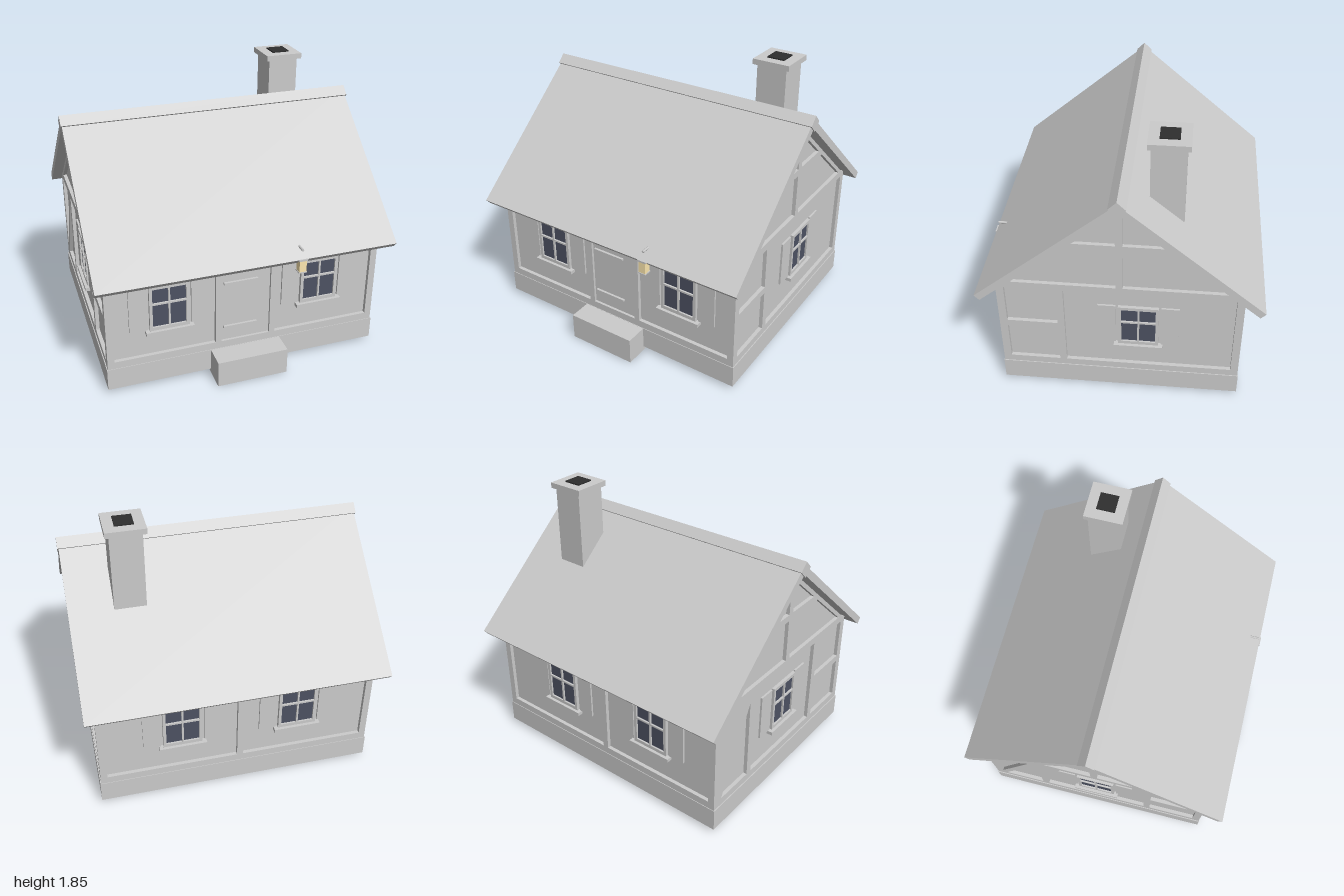
import * as THREE from 'three';

const grey = new THREE.MeshStandardMaterial({ color: 0xcccccc });
const glass = new THREE.MeshStandardMaterial({ color: 0x4d5263 });
const soot = new THREE.MeshStandardMaterial({ color: 0x2e2e2e });
const glow = new THREE.MeshStandardMaterial({ color: 0xffe9b0 });

function add(parent, name, geometry, material = grey) {
  const mesh = new THREE.Mesh(geometry, material);
  mesh.name = name;
  parent.add(mesh);
  return mesh;
}

// Box given by its limits on each axis
function box(parent, name, [x0, x1], [y0, y1], [z0, z1], material) {
  const mesh = add(parent, name, new THREE.BoxGeometry(x1 - x0, y1 - y0, z1 - z0), material);
  mesh.position.set((x0 + x1) / 2, (y0 + y1) / 2, (z0 + z1) / 2);
  return mesh;
}

const rect = (x0, x1, y0, y1) => [[x0, y0], [x1, y0], [x1, y1], [x0, y1]];
const points = (list) => list.map(([x, y]) => new THREE.Vector2(x, y));

// Flat plate with polygon openings, standing on z = 0
function plate(outline, holes, depth) {
  const shape = new THREE.Shape(points(outline));
  shape.holes = holes.map((h) => new THREE.Path(points(h)));
  return new THREE.ExtrudeGeometry(shape, { depth, bevelEnabled: false });
}

// Gable-shaped section carried along x
function prism(outline, length) {
  return plate(outline, [], length).translate(0, 0, -length / 2).rotateY(Math.PI / 2);
}

// Window with four panes, sill and a pair of shutters
function addWindow(wall, u) {
  const win = new THREE.Group();
  win.name = 'window';
  win.position.x = u;
  wall.add(win);
  const panes = [];
  for (const [a, b] of [[-0.11, -0.006], [0.006, 0.11]]) {
    panes.push(rect(a, b, 0.443, 0.605), rect(a, b, 0.617, 0.72));
  }
  add(win, 'windowFrame', plate(rect(-0.13, 0.13, 0.415, 0.742), panes, 0.022));
  box(win, 'windowGlass', [-0.12, 0.12], [0.43, 0.73], [0, 0.01], glass);
  box(win, 'windowSill', [-0.158, 0.158], [0.396, 0.42], [0, 0.042]);
  for (const s of [-1, 1]) {
    const shutter = box(win, 'shutter', [-0.058, 0.058], [0.425, 0.742], [0, 0.013]);
    shutter.position.x = s * 0.203;
  }
}

const FRAME = 0.025; // how far timbers stand out from the infill
const HALF_X = 0.9, HALF_Z = 0.755; // infill faces

// One wall: timber frame with openings, plus its windows
function addWall(house, name, angle, distance, outline, openings, windows) {
  const wall = new THREE.Group();
  wall.name = name;
  wall.rotation.y = angle;
  wall.position.set(Math.sin(angle) * distance, 0, Math.cos(angle) * distance);
  house.add(wall);
  add(wall, 'timberFrame', plate(outline, openings, FRAME));
  windows.forEach((u) => addWindow(wall, u));
  return wall;
}

export function createModel() {
  const model = new THREE.Group();
  model.name = 'cottage';
  const house = new THREE.Group();
  house.name = 'house';
  house.position.set(0, -0.004, -0.014);
  model.add(house);

  // Hollow plinth skirt, floor above it, and infill body
  const skirt = plate(rect(-0.931, 0.931, -0.784, 0.784), [rect(-0.927, 0.927, -0.78, 0.78)], 0.152);
  add(house, 'plinth', skirt.rotateX(-Math.PI / 2)).position.y = 0.035;
  box(house, 'floor', [-0.929, 0.929], [0.18, 0.187], [-0.782, 0.782]);
  add(house, 'infillBody', prism(
    [[-HALF_Z, 0.185], [HALF_Z, 0.185], [HALF_Z, 0.9], [0, 1.538], [-HALF_Z, 0.9]], 2 * HALF_X));

  // Front and back walls
  const longOutline = rect(-HALF_X, HALF_X, 0.185, 0.9);
  const front = addWall(house, 'frontWall', 0, HALF_Z, longOutline, [
    rect(-0.88, -0.206, 0.237, 0.857),
    rect(-0.168, 0.168, 0.237, 0.857),
    rect(0.206, 0.88, 0.237, 0.857),
  ], [-0.511, 0.513]);
  addWall(house, 'backWall', Math.PI, HALF_Z, longOutline, [
    rect(-0.88, 0, 0.237, 0.857),
    rect(0.04, 0.88, 0.237, 0.857),
  ], [-0.368, 0.412]);

  // Gable walls: king post, collar beam and rafters above the wall plate
  const gableOutline = [[-0.78, 0.185], [0.78, 0.185], [0.78, 0.885], [0.728, 0.905],
    [0, 1.524], [-0.728, 0.905], [-0.78, 0.885]];
  const gableOpenings = [];
  for (const s of [-1, 1]) {
    gableOpenings.push(
      [[s * 0.022, 0.908], [s * 0.685, 0.908], [s * 0.338, 1.202], [s * 0.022, 1.202]],
      [[s * 0.022, 1.247], [s * 0.285, 1.247], [s * 0.022, 1.47]]);
  }
  const stacked = (a, b) => [rect(a, b, 0.237, 0.522), rect(a, b, 0.569, 0.857)];
  addWall(house, 'leftGable', Math.PI / 2, HALF_X, gableOutline, [
    ...gableOpenings, ...stacked(-0.73, -0.4), rect(-0.355, 0.73, 0.237, 0.857),
  ], [0.12]);
  addWall(house, 'rightGable', -Math.PI / 2, HALF_X, gableOutline, [
    ...gableOpenings, ...stacked(0.4, 0.73), rect(-0.375, 0.355, 0.237, 0.857),
    // openings either side of the diagonal brace
    [[-0.73, 0.285], [-0.445, 0.857], [-0.73, 0.857]],
    [[-0.705, 0.237], [-0.42, 0.237], [-0.42, 0.805]],
  ], [0]);

  // Door with strap hinges, and the step
  box(front, 'door', [-0.168, 0.168], [0.237, 0.857], [-0.01, 0.008]);
  for (const y of [0.34, 0.67]) {
    box(front, 'strapHinge', [-0.15, 0.08], [y - 0.007, y + 0.007], [0, 0.024]);
  }
  box(model, 'doorStep', [-0.24, 0.24], [0, 0.182], [0.74, 0.92]);

  // Roof and diamond ridge beam
  add(house, 'roof', prism([
    [0, 1.605], [-0.903, 0.835], [-0.871, 0.799], [0, 1.539], [0.871, 0.799], [0.903, 0.835],
  ], 1.984));
  const ridge = add(house, 'ridgeBeam', new THREE.BoxGeometry(2, 0.076, 0.076));
  ridge.position.y = 1.575;
  ridge.rotation.x = Math.PI / 4;

  // Chimney
  const chimney = new THREE.Group();
  chimney.name = 'chimney';
  chimney.position.set(0.602, -0.003, -0.286);
  model.add(chimney);
  box(chimney, 'chimneyStack', [-0.103, 0.103], [1.2, 1.81], [-0.107, 0.107]);
  box(chimney, 'chimneyCap', [-0.128, 0.128], [1.805, 1.842], [-0.127, 0.127]);
  box(chimney, 'flue', [-0.06, 0.06], [1.83, 1.85], [-0.06, 0.06], soot);

  // Hanging lantern on its wall bracket
  const lantern = new THREE.Group();
  lantern.name = 'lantern';
  lantern.position.set(0.331, -0.004, 0.865);
  model.add(lantern);
  box(lantern, 'bracketPlate', [-0.015, 0.015], [0.82, 0.9], [-0.105, -0.087]);
  const arm = add(lantern, 'bracketArm', new THREE.CylinderGeometry(0.008, 0.008, 0.11, 8));
  arm.rotation.x = Math.PI / 2;
  arm.position.set(0, 0.893, -0.045);
  box(lantern, 'lanternBody', [-0.024, 0.024], [0.745, 0.826], [-0.024, 0.024], glow);
  box(lantern, 'lanternBase', [-0.028, 0.028], [0.738, 0.745], [-0.028, 0.028]);
  box(lantern, 'lanternCap', [-0.032, 0.032], [0.825, 0.837], [-0.03, 0.03]);

  return model;
}
